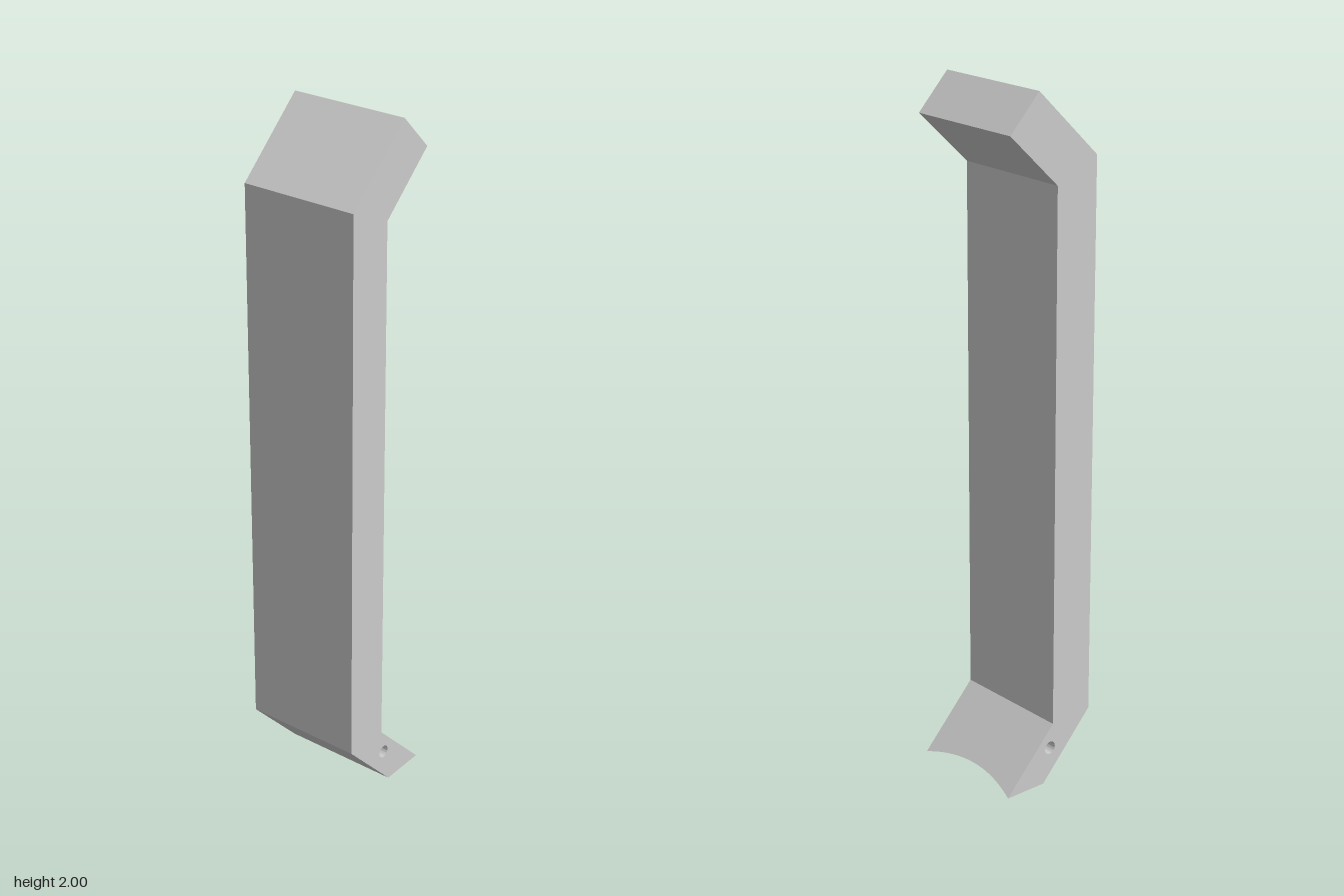
import * as THREE from 'three';
import { toCreasedNormals } from 'three/addons/utils/BufferGeometryUtils.js';

const HALF_WIDTH = 0.178;
const TIP = { x: 0.155, y: 0.005 };       // free edge of the lower foot
const INNER = { x: -0.016, y: 0.18 };     // inner bend above the foot
const SAG = 0.16;                         // hollow depth, as a share of the foot's slope

export function createModel() {
  const group = new THREE.Group();
  group.name = 'bracket';

  // Side profile: bent foot, upright, bent head
  const profile = new THREE.Shape([
    [0.02, 0], [TIP.x, TIP.y], [INNER.x, INNER.y], [-0.016, 1.745],
    [0.148, 1.9], [0.05, 2], [-0.155, 1.805], [-0.155, 0.182],
  ].map(([x, y]) => new THREE.Vector2(x, y)));

  // Pin hole through the foot
  const hole = new THREE.Path();
  hole.absarc(-0.005, 0.107, 0.019, 0, Math.PI * 2, true);
  profile.holes.push(hole);

  const geometry = new THREE.ExtrudeGeometry(profile, {
    depth: HALF_WIDTH * 2, steps: 32, bevelEnabled: false, curveSegments: 24,
  });
  geometry.translate(0, 0, -HALF_WIDTH);

  // Hollow the foot's free edge: slide it up the slope along an arc
  const pos = geometry.attributes.position;
  for (let i = 0; i < pos.count; i++) {
    if (pos.getX(i) < 0.13 || pos.getY(i) > 0.1) continue;
    const t = SAG * (1 - (pos.getZ(i) / HALF_WIDTH) ** 2);
    pos.setXY(i, TIP.x + (INNER.x - TIP.x) * t, TIP.y + (INNER.y - TIP.y) * t);
  }

  const body = new THREE.Mesh(
    toCreasedNormals(geometry, Math.PI / 6),
    new THREE.MeshStandardMaterial({ color: 0xcccccc }),
  );
  body.name = 'bracketBody';
  group.add(body);
  return group;
}
